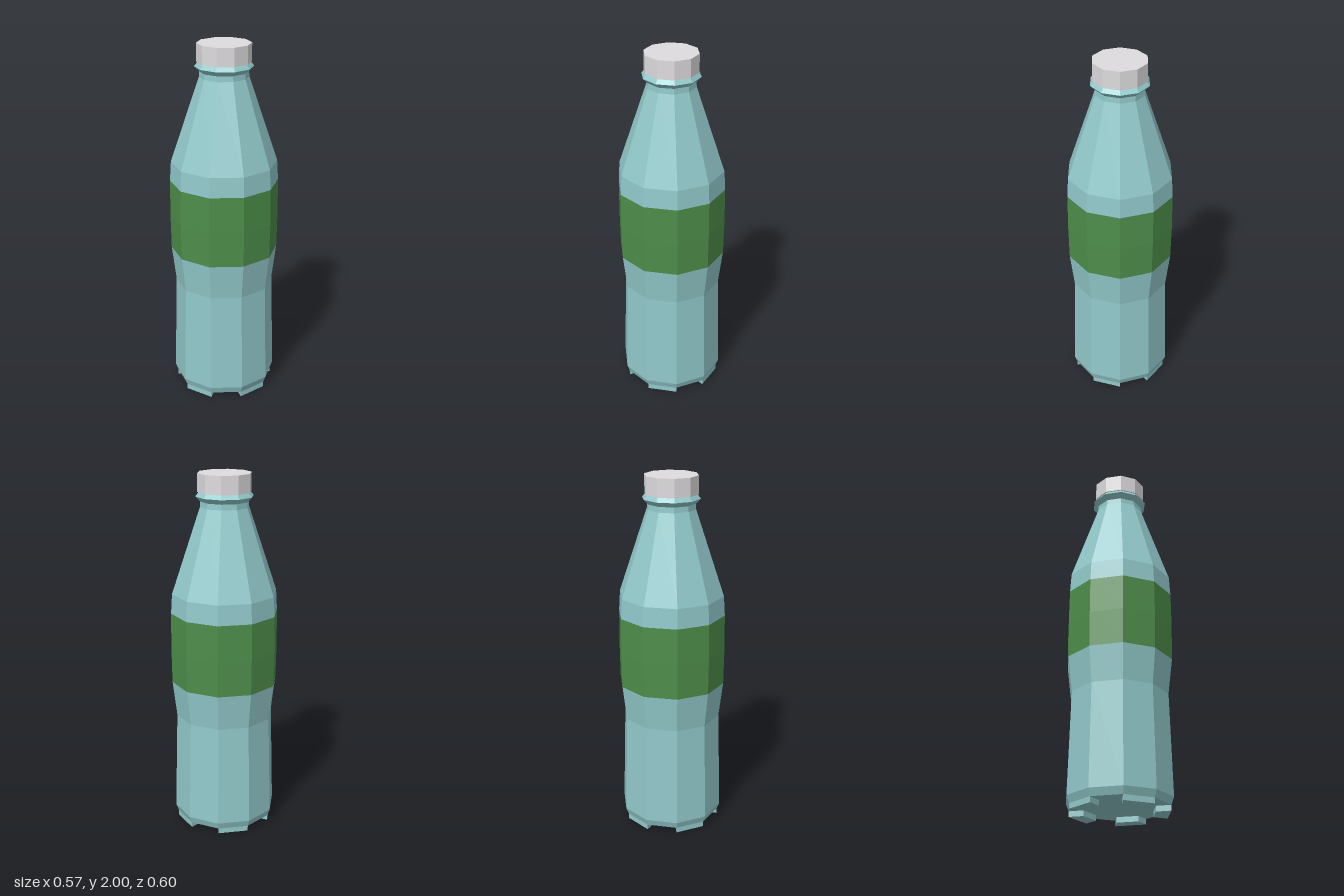
import * as THREE from 'three';

const SIDES = 10;

const glass = new THREE.MeshStandardMaterial({ color: 0x92c9cb });
glass.name = 'paleTealGlass';
const green = new THREE.MeshStandardMaterial({ color: 0x4e8e4b });
green.name = 'greenLabel';
const grey = new THREE.MeshStandardMaterial({ color: 0xdedcde });
grey.name = 'lightGreyCap';

// Faceted ring of revolution from [radius, height] pairs, bottom to top
function turned(name, profile, material) {
  const points = profile.map(([r, y]) => new THREE.Vector2(r, y));
  const geometry = new THREE.LatheGeometry(points, SIDES).toNonIndexed();
  geometry.computeVertexNormals();
  const mesh = new THREE.Mesh(geometry, material);
  mesh.name = name;
  return mesh;
}

// Block under one side of the base, with its ends running radially
function foot(index) {
  const corner = (r, a) => new THREE.Vector2(r * Math.sin(a), -r * Math.cos(a));
  const start = (index * 2 * Math.PI * 2) / SIDES;
  const end = start + (Math.PI * 2) / SIDES;
  const shape = new THREE.Shape([
    corner(0.193, start), corner(0.275, start), corner(0.275, end), corner(0.193, end),
  ]);
  const geometry = new THREE.ExtrudeGeometry(shape, { depth: 0.03, bevelEnabled: false });
  geometry.rotateX(-Math.PI / 2);
  const mesh = new THREE.Mesh(geometry, glass);
  mesh.name = 'foot' + (index + 1);
  return mesh;
}

export function createModel() {
  const bottle = new THREE.Group();
  bottle.name = 'bottle';

  // Lower body, with its closed base and slight waist
  bottle.add(turned('lowerBody', [
    [0, 0.03], [0.275, 0.03], [0.29, 0.07], [0.274, 0.64], [0.298, 0.84],
  ], glass));

  // Label band
  bottle.add(turned('label', [[0.298, 0.84], [0.301, 1.04], [0.299, 1.24]], green));

  // Shoulder and neck
  bottle.add(turned('shoulder', [
    [0.299, 1.24], [0.292, 1.35], [0.134, 1.82], [0.132, 1.85],
  ], glass));

  // Flared collar below the cap
  bottle.add(turned('neckRing', [
    [0.132, 1.85], [0.159, 1.877], [0.14, 1.9],
  ], glass));

  // Cap, closed above and below
  bottle.add(turned('cap', [
    [0, 1.9], [0.147, 1.9], [0.147, 2], [0, 2],
  ], grey));

  // Five feet on alternate sides
  for (let i = 0; i < SIDES / 2; i++) bottle.add(foot(i));

  return bottle;
}
